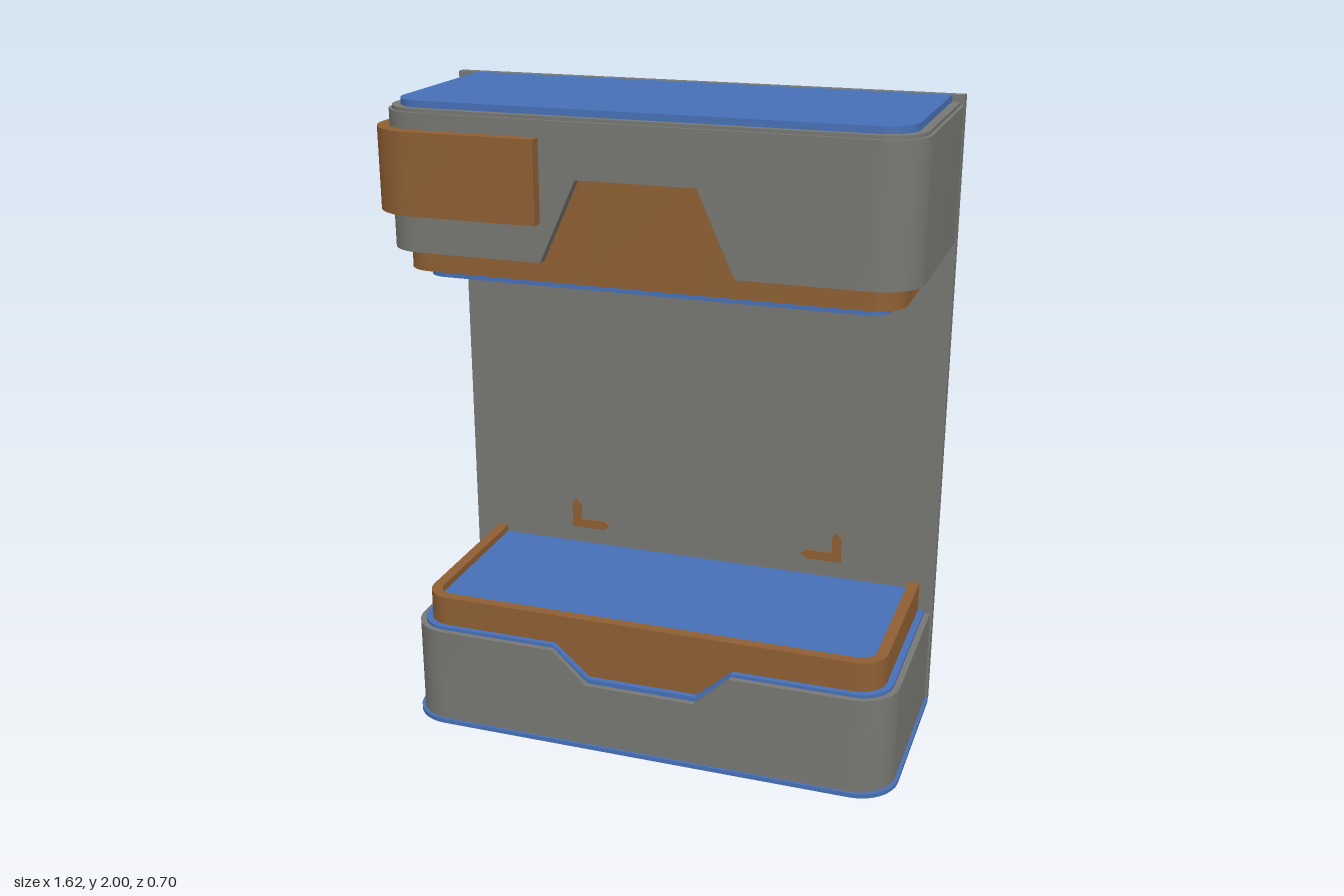
import * as THREE from 'three';
import { toCreasedNormals } from 'three/addons/utils/BufferGeometryUtils.js';

const CX = 0.013;      // centre line of the housings
const BACK = -0.32;    // front face of the back panel
const NOTCH_IN = 0.177, NOTCH_OUT = 0.288;

const material = (name, color) => {
  const m = new THREE.MeshStandardMaterial({ color });
  m.name = name;
  return m;
};

// U-shaped plan from the back left, round the front, to the back right.
// Each entry: x, z, inward normal, and how far into the notch it lies (0..1).
function uPath(hw, front, r) {
  const pts = [{ x: -hw, z: BACK, nx: 1, nz: 0, n: 0 }];
  const corner = (side, from, to) => {
    for (let i = 0; i <= 8; i++) {
      const a = from + (to - from) * i / 8;
      pts.push({ x: side * (hw - r) + r * Math.cos(a), z: front - r + r * Math.sin(a),
        nx: -Math.cos(a), nz: -Math.sin(a), n: 0 });
    }
  };
  corner(-1, Math.PI, Math.PI / 2);
  for (const [x, n] of [[-NOTCH_OUT, 0], [-NOTCH_IN, 1], [NOTCH_IN, 1], [NOTCH_OUT, 0]])
    pts.push({ x, z: front, nx: 0, nz: -1, n });
  corner(1, Math.PI / 2, 0);
  pts.push({ x: hw, z: BACK, nx: -1, nz: 0, n: 0 });
  return pts;
}

// Wall of thickness t along the path; lo and hi are [normal height, height at the notch].
function wallGeometry(path, t, lo, hi) {
  const pos = [], idx = [];
  path.forEach((p, i) => {
    const a = lo[0] + (lo[1] - lo[0]) * p.n, b = hi[0] + (hi[1] - hi[0]) * p.n;
    const x = p.x + CX, xi = x + p.nx * t, zi = p.z + p.nz * t;
    pos.push(x, a, p.z, x, b, p.z, xi, b, zi, xi, a, zi);
    if (i === 0) return;
    const s = (i - 1) * 4, e = i * 4;
    for (let k = 0; k < 4; k++) {
      const j = (k + 1) % 4;
      idx.push(s + k, e + k, e + j, s + k, e + j, s + j);
    }
  });
  const l = (path.length - 1) * 4;
  idx.push(0, 1, 2, 0, 2, 3, l, l + 2, l + 1, l, l + 3, l + 2);
  const g = new THREE.BufferGeometry();
  g.setAttribute('position', new THREE.Float32BufferAttribute(pos, 3));
  g.setIndex(idx);
  return toCreasedNormals(g, 0.5);
}

// Solid plate filling the same plan between two heights.
function plateGeometry(hw, front, r, y0, y1) {
  const shape = new THREE.Shape(uPath(hw, front, r).map(p => new THREE.Vector2(p.x + CX, -p.z)));
  const g = new THREE.ExtrudeGeometry(shape, { depth: y1 - y0, bevelEnabled: false });
  g.rotateX(-Math.PI / 2).translate(0, y0, 0);
  return toCreasedNormals(g, 0.5);
}

export function createModel() {
  const gray = material('warm gray', 0x777773);
  const orange = material('burnt orange', 0x8f5f33);
  const blue = material('blue', 0x4770b8);
  const model = new THREE.Group();
  model.name = 'wallUnit';

  const group = name => {
    const g = new THREE.Group();
    g.name = name;
    model.add(g);
    return g;
  };
  const add = (parent, name, geometry, mat) => {
    const m = new THREE.Mesh(geometry, mat);
    m.name = name;
    parent.add(m);
    return m;
  };
  const wall = (parent, name, mat, [hw, front, r, t], lo, hi) =>
    add(parent, name, wallGeometry(uPath(hw, front, r), t, lo, hi), mat);
  const plate = (parent, name, mat, ...args) => add(parent, name, plateGeometry(...args), mat);

  // Back panel
  add(model, 'backPanel', new THREE.BoxGeometry(1.615, 2, 0.03), gray).position.set(-0.002, 1, -0.335);

  // Upper housing: notched shell, lid, inner collar with a tongue, and lower lip
  const upper = group('upperHousing');
  wall(upper, 'upperShell', gray, [0.79, 0.31, 0.12, 0.035], [1.565, 1.81], [1.97, 1.97]);
  wall(upper, 'upperShellBevel', gray, [0.78, 0.3, 0.11, 0.025], [1.97, 1.97], [1.98, 1.98]);
  plate(upper, 'upperLid', blue, 0.755, 0.278, 0.09, 1.95, 2);
  wall(upper, 'upperCollar', orange, [0.745, 0.27, 0.085, 0.06], [1.5, 1.5], [1.6, 1.85]);
  wall(upper, 'upperLip', blue, [0.698, 0.22, 0.06, 0.02], [1.472, 1.472], [1.53, 1.53]);
  plate(upper, 'upperUnderside', gray, 0.69, 0.212, 0.055, 1.5, 1.52);

  // Strap wrapped round one front corner of the upper housing
  const strap = uPath(0.823, 0.348, 0.15).filter(p => p.x < -NOTCH_OUT);
  strap.push({ x: -0.285, z: 0.348, nx: 0, nz: -1, n: 0 });
  add(upper, 'cornerStrap', wallGeometry(strap, 0.042, [1.68, 1.68], [1.922, 1.922]), orange);

  // Lower housing: base trim, notched shell, liner, collar and deck
  const lower = group('lowerHousing');
  wall(lower, 'baseTrim', blue, [0.795, 0.315, 0.125, 0.03], [0, 0], [0.014, 0.014]);
  wall(lower, 'lowerShell', gray, [0.785, 0.306, 0.12, 0.03], [0.012, 0.012], [0.325, 0.22]);
  wall(lower, 'lowerLiner', blue, [0.766, 0.288, 0.1, 0.022], [0.29, 0.19], [0.335, 0.235]);
  wall(lower, 'lowerCollar', orange, [0.745, 0.27, 0.085, 0.035], [0.305, 0.205], [0.43, 0.43]);
  plate(lower, 'deckBase', orange, 0.72, 0.245, 0.06, 0.392, 0.4);
  plate(lower, 'deck', blue, 0.72, 0.245, 0.06, 0.4, 0.408);

  // Four corner marks on the back panel
  const mark = new THREE.Shape([[0, 0], [-0.115, 0], [-0.135, -0.015], [-0.115, -0.03], [-0.03, -0.03],
    [-0.03, -0.085], [-0.015, -0.103], [0, -0.085]].map(p => new THREE.Vector2(...p)));
  const marks = group('cornerMarks');
  for (const sx of [1, -1]) for (const sy of [1, -1]) {
    const g = new THREE.ExtrudeGeometry(mark, { depth: 0.006, bevelEnabled: false });
    // Half turns and quarter turns keep the outward winding; mirrored marks swap their arms.
    if (sx < 0) g.rotateY(Math.PI).translate(0, 0, 0.006);
    if (sy < 0) g.rotateX(Math.PI).translate(0, 0, 0.006);
    add(marks, 'cornerMark', g, orange).position.set(0.024 + sx * 0.472, 0.94 + sy * 0.475, BACK);
  }
  return model;
}
